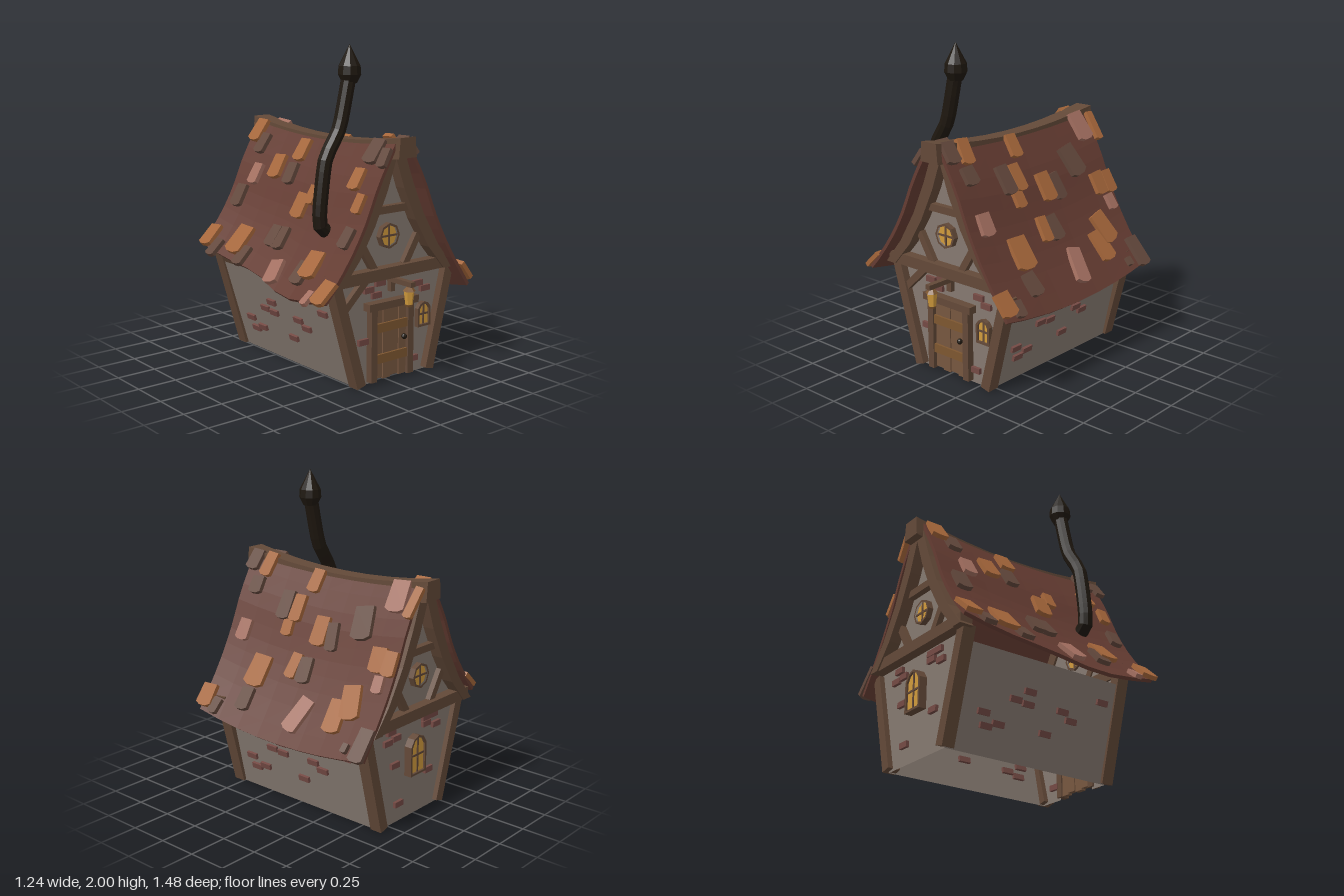
import * as THREE from 'three';

const C = { roof: 0x653c32, beam: 0x634938, wall: 0x857970, gold: 0xd09a3c, iron: 0x1e170f, strap: 0x7d5630,
  plank: 0x76563f, brick: 0x744a44, O: 0xa5663a, B: 0x63483c, P: 0xa36f60 };
const FRONT = 0.525, BACK = -0.62;
const mats = {};
const mat = (key) => mats[key] ??= new THREE.MeshStandardMaterial({
  color: C[key], flatShading: true, side: key === 'wall' ? THREE.DoubleSide : THREE.FrontSide });
const V2 = (a) => a.map(([x, y]) => new THREE.Vector2(x, y));

// Concave roof slope from ridge (t = 0) to eave (t = 1), sagging mid-length
const slope = new THREE.SplineCurve(V2([[0.055, 1.45], [0.185, 1.22], [0.28, 1.0], [0.4, 0.78], [0.57, 0.53]]));
function roofPoint(side, t, z) {
  const short = side < 0 ? 1 - 0.1 * THREE.MathUtils.smoothstep(-z, -0.35, 0.15) : 1;
  const p = slope.getPoint(Math.min(1, t * short));
  const sag = (0.045 + 0.02 * t) * (1 - (z / 0.67) ** 2);
  return new THREE.Vector3(side * p.x, p.y - sag + (side < 0 ? 0.075 * t ** 3 : 0), z);
}
function roofFrame(side, t, z) {
  const up = roofPoint(side, Math.max(0, t - 0.03), z).sub(roofPoint(side, Math.min(1, t + 0.03), z)).normalize();
  const out = new THREE.Vector3(side * up.y, -side * up.x, 0).normalize();
  return { p: roofPoint(side, t, z), up, out };
}

export function createModel() {
  const model = new THREE.Group();
  let seed = 7;
  const rand = () => (seed = (seed * 16807) % 2147483647) / 2147483647 - 0.5;

  function add(name, geo, key, x = 0, y = 0, z = 0, parent = model) {
    const m = new THREE.Mesh(geo, mat(key));
    m.name = name;
    m.position.set(x, y, z);
    parent.add(m);
    return m;
  }
  const box = (name, key, w, h, d, x, y, z, parent) => add(name, new THREE.BoxGeometry(w, h, d), key, x, y, z, parent);
  // Timber between two points in the xy plane
  function timber(name, [ax, ay], [bx, by], width, depth, z) {
    const m = box(name, 'beam', width, Math.hypot(bx - ax, by - ay), depth, (ax + bx) / 2, (ay + by) / 2, z);
    m.rotation.z = -Math.atan2(bx - ax, by - ay);
    return m;
  }
  // Plate extruded to a depth centred on z = 0
  function plate(points, depth, hole) {
    const shape = new THREE.Shape(V2(points));
    if (hole) shape.holes.push(new THREE.Path(V2(hole)));
    return new THREE.ExtrudeGeometry(shape, { depth, bevelEnabled: false }).translate(0, 0, -depth / 2);
  }

  // End walls, the front one notched for the door
  const gableTop = [[0.46, 0.62], [0.33, 0.8], [0.21, 1.0], [0.12, 1.2], [0.04, 1.38],
    [-0.04, 1.38], [-0.12, 1.2], [-0.21, 1.0], [-0.33, 0.8], [-0.43, 0.62]];
  const notch = [[-0.24, 0], [-0.13, 0], [-0.13, 0.46], [0.16, 0.46], [0.16, 0], [0.33, 0]];
  const wallShape = (base) => new THREE.ShapeGeometry(new THREE.Shape(V2([...base, ...gableTop])));
  add('frontWall', wallShape(notch), 'wall', 0, 0, FRONT);
  add('backWall', wallShape([[-0.24, 0], [0.33, 0]]), 'wall', 0, 0, BACK);

  // Leaning side walls
  const wallX = (side, y) => (side > 0 ? 0.33 + 0.21 * y : -0.24 - 0.306 * y);
  for (const side of [1, -1]) {
    const g = new THREE.PlaneGeometry(FRONT - BACK, 0.58).rotateY(side * Math.PI / 2).translate(0, 0.29, (FRONT + BACK) / 2);
    const p = g.attributes.position;
    for (let i = 0; i < p.count; i++) p.setX(i, wallX(side, p.getY(i)));
    add('sideWall', g, 'wall');
  }

  // Timber frame on both ends
  const barge = [[0.0, 1.42], [0.06, 1.4], [0.135, 1.2], [0.225, 1.0], [0.345, 0.8], [0.475, 0.64],
    [0.4, 0.64], [0.27, 0.79], [0.16, 0.97], [0.065, 1.17], [0.0, 1.35]];
  for (const [z, s] of [[FRONT, 1], [BACK, -1]]) {
    timber('cornerPost', [0.318, 0.01], [0.47, 0.625], 0.065, 0.08, z + 0.008);
    timber('cornerPost', [-0.23, 0.01], [-0.42, 0.665], 0.065, 0.08, z + 0.008);
    timber('crossBeam', [-0.46, 0.675], [0.41, 0.675], 0.07, 0.08, z + s * 0.025);
    timber('collarBeam', [-0.16, 1.05], [0.16, 1.05], 0.045, 0.05, z + s * 0.015);
    for (const side of [1, -1]) {
      timber('gableBrace', [side * 0.12, 0.7], [side * 0.225, 0.87], 0.045, 0.045, z + s * 0.012);
      const pts = barge.map(([x, y]) => [side * x, y]);
      add('bargeBoard', plate(pts, 0.09), 'beam', 0, 0, z + s * 0.03);
    }
  }
  timber('wallBrace', [-0.35, 0.49], [-0.18, 0.65], 0.045, 0.045, FRONT + 0.012);

  // Roof halves: slabs bent along the slope
  for (const side of [1, -1]) {
    const g = new THREE.BoxGeometry(1, 1, 1, 1, 10, 8);
    const p = g.attributes.position;
    for (let i = 0; i < p.count; i++) {
      const z = -0.02 + p.getZ(i) * 1.34;
      const f = roofFrame(side, 0.5 - p.getY(i), z);
      f.p.addScaledVector(f.out, p.getX(i) * side > 0 ? 0 : -0.022);
      p.setXYZ(i, f.p.x, f.p.y, z);
    }
    add(side > 0 ? 'leftRoof' : 'rightRoof', g, 'roof');
  }

  // Sagging ridge beam
  const ridge = new THREE.BoxGeometry(0.11, 0.12, 1.43, 1, 1, 8);
  const rp = ridge.attributes.position;
  for (let i = 0; i < rp.count; i++) {
    const k = (rp.getZ(i) / 0.715) ** 2;
    const lower = rp.getY(i) < 0;
    rp.setX(i, rp.getX(i) * (lower ? 1 + 0.25 * k * k : 0.95 + 0.1 * k));
    rp.setY(i, rp.getY(i) + 1.362 + 0.062 * k);
  }
  add('ridgeBeam', ridge, 'beam', 0.006, 0, -0.025);

  // Loose shingles: z, height (one side) or x (other side), width, length, colour, turn
  const shingles = new THREE.Group();
  shingles.name = 'shingles';
  model.add(shingles);
  function shingle(side, find, z, w, len, key, turn = rand() * 0.2) {
    let t = 0;
    while (t < 0.98 && !find(roofPoint(side, t, z))) t += 0.01;
    const f = roofFrame(side, t, z);
    const c = w * 0.28, top = w * 0.46, low = w * 0.14 - len / 2;
    const geo = plate([[-top, len / 2], [-w / 2, low], [c - w / 2, -len / 2], [w / 2 - c, -len / 2],
      [w / 2, low], [top, len / 2]], 0.028);
    const m = add('shingle', geo, key, 0, 0, 0, shingles);
    m.position.copy(f.p).addScaledVector(f.out, 0.02);
    m.quaternion.setFromRotationMatrix(new THREE.Matrix4().makeBasis(f.up.clone().cross(f.out), f.up, f.out));
    m.rotateZ(turn);
    m.rotateX(-0.1 + rand() * 0.1);
  }
  const leftTiles = [[.48, 1.4, .09, .14, 'O'], [.6, 1.41, .1, .12, 'B'], [.52, 1.28, .1, .1, 'B'], [.07, 1.36, .09, .13, 'O'],
    [.24, 1.2, .1, .16, 'B'], [.14, 1.2, .09, .15, 'O'], [.18, 1.08, .08, .09, 'O'], [.52, 1.01, .1, .12, 'P'],
    [-.08, 1.1, .11, .16, 'O'], [-.18, 1.09, .08, .15, 'B', .15], [-.38, 1.2, .14, .18, 'B', .2], [-.57, 1.38, .13, .17, 'P'],
    [-.69, 1.36, .06, .17, 'O'], [-.56, 1.03, .11, .13, 'O'], [-.65, 1.03, .09, .13, 'O'], [-.61, .91, .07, .09, 'P']];
  const leftLow = [[.31, .8, .15, .18, 'O'], [.33, .64, .1, .13, 'B'], [.05, .88, .08, .14, 'O'], [-.04, .87, .1, .14, 'B', .1],
    [-.11, .64, .11, .2, 'P', -.25], [-.46, .78, .13, .18, 'O', .25], [-.38, .69, .12, .18, 'O', .1], [.62, .61, .12, .13, 'O'],
    [.53, .56, .07, .09, 'B'], [-.65, .6, .1, .18, 'B'], [-.54, .57, .04, .05, 'B']];
  for (const [z, y, w, h, key, turn] of [...leftTiles, ...leftLow]) shingle(1, (p) => p.y <= y, z, w, h / 0.87, key, turn);
  const rightTiles = [[-.64, .48, .11, 'O'], [-.54, .54, .08, 'B'], [-.57, .3, .1, 'B'], [-.48, .23, .09, 'P'], [-.62, .1, .11, 'O'],
    [-.53, .14, .09, 'B'], [-.37, .44, .15, 'O'], [-.27, .49, .09, 'B'], [-.3, .19, .11, 'O'], [-.15, .2, .09, 'B'],
    [-.13, .12, .1, 'O'], [-.09, .38, .09, 'B'], [-.02, .38, .1, 'B'], [.08, .5, .11, 'P', .25]];
  const rightFront = [[.04, .27, .11, 'O'], [.12, .24, .07, 'O'], [.31, .48, .1, 'B'], [.37, .44, .13, 'O'], [.47, .19, .09, 'O'],
    [.52, .1, .11, 'B'], [.56, .34, .08, 'B'], [.56, .25, .07, 'O'], [.61, .55, .11, 'O'], [.5, .59, .05, 'P'], [.63, .12, .07, 'B']];
  for (const [z, x, w, key, turn] of [...rightTiles, ...rightFront]) shingle(-1, (p) => -p.x >= x - 0.02, z, w, 0.05 + w, key, turn);

  // Crooked stove pipe with a pointed cap
  const pipe = new THREE.CatmullRomCurve3([[-0.24, 0.88], [-0.34, 0.95], [-0.345, 1.06], [-0.305, 1.34], [-0.2, 1.52], [-0.13, 1.81]]
    .map(([x, y]) => new THREE.Vector3(x, y, 0.325)), false, 'catmullrom', 0.3);
  add('chimneyPipe', new THREE.TubeGeometry(pipe, 16, 0.045, 10), 'iron');
  const cap = V2([[0, 0], [0.045, 0], [0.07, 0.05], [0.066, 0.1], [0, 0.225]]);
  add('chimneyCap', new THREE.LatheGeometry(cap, 10), 'iron', -0.125, 1.775, 0.325);

  // Door with frame, planks, straps and knob
  box('doorJamb', 'beam', 0.045, 0.47, 0.06, -0.13, 0.25, FRONT + 0.015);
  box('doorJamb', 'beam', 0.045, 0.47, 0.06, 0.16, 0.25, FRONT + 0.015);
  box('doorLintel', 'beam', 0.39, 0.045, 0.075, 0.015, 0.48, FRONT + 0.02).rotation.z = -0.01;
  for (let i = 0; i < 4; i++)
    box('doorPlank', 'plank', 0.06, 0.43 + 0.015 * (i % 2), 0.03, -0.078 + i * 0.063, 0.24, FRONT + 0.004 + 0.005 * (i % 2));
  for (const y of [0.15, 0.34]) box('doorStrap', 'strap', 0.25, 0.055, 0.015, 0.015, y, FRONT + 0.03);
  add('doorKnob', new THREE.SphereGeometry(0.018, 8, 6), 'iron', 0.11, 0.255, FRONT + 0.04);

  // Lantern on a bracket
  box('lanternArm', 'beam', 0.035, 0.03, 0.22, 0.02, 0.625, 0.625);
  timber('lanternStrut', [0.02, 0.55], [0.02, 0.68], 0.035, 0.03, FRONT + 0.02);
  add('lanternHood', new THREE.CylinderGeometry(0.018, 0.04, 0.025, 6), 'strap', 0.02, 0.595, 0.7);
  add('lanternGlass', new THREE.CylinderGeometry(0.032, 0.022, 0.085, 6), 'gold', 0.02, 0.54, 0.7);
  add('lanternBase', new THREE.CylinderGeometry(0.026, 0.02, 0.014, 6), 'strap', 0.02, 0.495, 0.7);

  // Windows: frame outline with a golden pane and glazing bars
  const arch = (w, h) => [[-w / 2, -h / 2], [w / 2, -h / 2], [w / 2, h * 0.25], [w * 0.3, h * 0.43], [0, h / 2],
    [-w * 0.3, h * 0.43], [-w / 2, h * 0.25]];
  const octagon = (w) => Array.from({ length: 8 }, (_, i) => [(w / 2) * Math.sin(i * Math.PI / 4), (w / 2) * Math.cos(i * Math.PI / 4)]);
  function windowAt(name, outline, w, h, x, y, z) {
    const g = new THREE.Group();
    g.name = name;
    g.position.set(x, y, z);
    model.add(g);
    const rim = 0.028;
    add('windowFrame', plate(outline(w, h), 0.05, outline(w - rim, h - rim)), 'beam', 0, 0, 0, g);
    add('windowPane', plate(outline(w - rim, h - rim), 0.025), 'gold', 0, 0, 0, g);
    box('glazingBar', 'beam', 0.012, h - rim, 0.036, 0, 0, 0, g);
    box('glazingBar', 'beam', w - rim, 0.012, 0.036, 0, 0, 0, g);
  }
  windowAt('roundWindow', octagon, 0.155, 0.155, -0.008, 0.89, FRONT + 0.01);
  windowAt('roundWindow', octagon, 0.155, 0.155, -0.008, 0.89, BACK - 0.01);
  windowAt('archedWindow', arch, 0.105, 0.155, 0.285, 0.36, FRONT + 0.005);
  windowAt('backWindow', arch, 0.15, 0.25, 0.025, 0.405, BACK - 0.03);

  // Bricks showing through the plaster
  const endBricks = (list, z) => list.forEach(([x, y]) => box('brick', 'brick', 0.075, 0.036, 0.04, x, y, z));
  endBricks([[-.15, .58], [-.06, .61], [-.09, .54], [.24, .56], [.3, .52], [-.19, .27], [.21, .09]], FRONT);
  endBricks([[.24, .6], [.19, .55], [.27, .54], [-.1, .56], [-.17, .6], [-.2, .53], [.2, .38], [-.13, .25], [.16, .12], [-.1, .6]], BACK);
  const sideBricks = [[.08, .4], [.17, .34], [.08, .33], [-.17, .34], [-.24, .3], [-.45, .45], [.37, .23], [.34, .16], [.26, .185], [-.07, .195]];
  for (const side of [1, -1]) for (const [z, y] of sideBricks) {
    const m = box('brick', 'brick', 0.035, 0.036, 0.08, wallX(side, y), y, side > 0 ? z : -z - 0.05);
    m.rotation.z = side > 0 ? -0.21 : 0.3;
  }
  return model;
}
